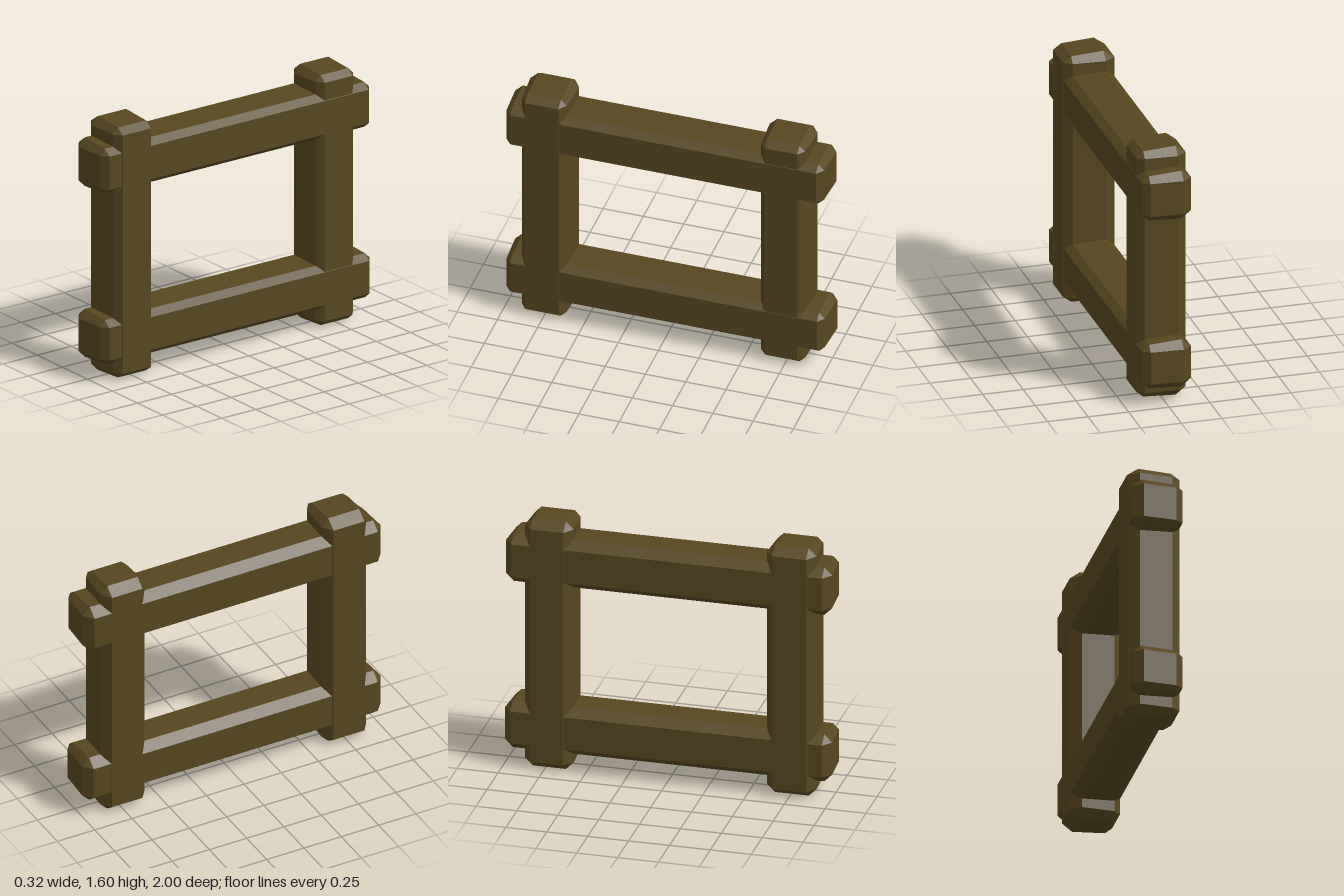
import * as THREE from 'three';
import { ConvexGeometry } from 'three/addons/geometries/ConvexGeometry.js';

const wood = new THREE.MeshStandardMaterial({ color: 0x57471f, flatShading: true });
const BEVEL = 0.048;  // edge cut along y and z
const INSET = [-0.09, 0.11];  // x limits of the flat end and edge faces
const TAPER = 0.012;  // the timber is slightly slimmer towards +x

// Hand-hewn timber: a box with every edge bevelled, three points per corner
function timber(name, x, y, z) {
  const points = [];
  for (const i of [0, 1]) for (const j of [0, 1]) for (const k of [0, 1]) {
    const inY = j ? -1 : 1, inZ = k ? -1 : 1;
    const yIn = y[j] + inY * BEVEL, zIn = z[k] + inZ * BEVEL;
    points.push(
      new THREE.Vector3(x[i], yIn, zIn),
      new THREE.Vector3(INSET[i], y[j] + inY * TAPER * i, zIn),
      new THREE.Vector3(INSET[i], yIn, z[k] + inZ * TAPER * i)
    );
  }
  const mesh = new THREE.Mesh(new ConvexGeometry(points), wood);
  mesh.name = name;
  return mesh;
}

export function createModel() {
  const group = new THREE.Group();
  group.name = 'timberFrame';

  // Upright posts
  group.add(timber('frontPost', [-0.158, 0.16], [0, 1.6], [0.603, 0.905]));
  group.add(timber('backPost', [-0.152, 0.153], [0, 1.6], [-0.878, -0.58]));

  // Horizontal rails running through the posts
  group.add(timber('lowerRail', [-0.148, 0.155], [0.104, 0.406], [-1, 1]));
  group.add(timber('upperRail', [-0.15, 0.156], [1.18, 1.487], [-0.995, 1]));

  return group;
}
